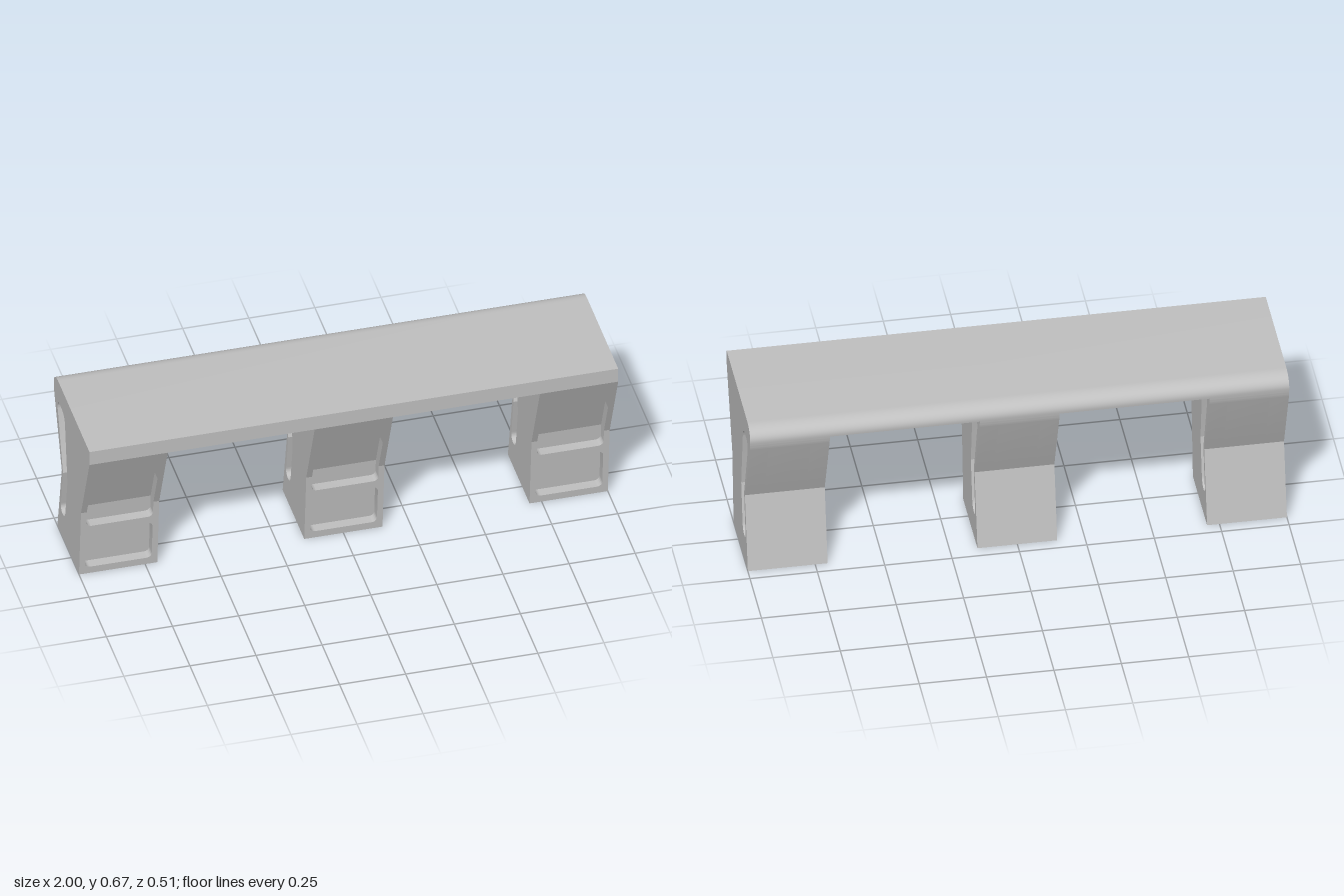
import * as THREE from 'three';
import { toCreasedNormals } from 'three/addons/utils/BufferGeometryUtils.js';

const HALF = 0.148;      // half the width of a leg
const UNDER = 0.608;     // underside of the top slab
const POCKET = 0.04;     // depth of the front pockets
const SLOT = 0.07;       // depth of the side slots

// Front face of a leg: z at height y, with a kink at y = 0.3
const frontZ = (y) => (y < 0.3 ? 0.107 + (y / 0.3) * 0.028 : 0.135 + ((y - 0.3) / 0.308) * 0.122);

// Extrude a (z, y) shape along x, from x0 to x1
function alongX(shape, x0, x1) {
  const g = new THREE.ExtrudeGeometry(shape, { depth: x1 - x0, bevelEnabled: false, curveSegments: 12 });
  g.rotateY(-Math.PI / 2).translate(x1, 0, 0);
  return toCreasedNormals(g, 0.25);
}

// Rounded rectangle with separate bottom and top radii
function roundRect(target, x0, y0, x1, y1, rb, rt) {
  target.moveTo(x0 + rb, y0);
  target.lineTo(x1 - rb, y0);
  target.absarc(x1 - rb, y0 + rb, rb, -Math.PI / 2, 0);
  target.lineTo(x1, y1 - rt);
  target.absarc(x1 - rt, y1 - rt, rt, 0, Math.PI / 2);
  target.lineTo(x0 + rt, y1);
  target.absarc(x0 + rt, y1 - rt, rt, Math.PI / 2, Math.PI);
  target.lineTo(x0, y0 + rb);
  target.absarc(x0 + rb, y0 + rb, rb, Math.PI, Math.PI * 1.5);
  return target;
}

// Top slab with a rounded rear edge
function slabShape() {
  const s = new THREE.Shape();
  s.moveTo(0.257, UNDER);
  s.lineTo(0.257, 0.667);
  s.lineTo(-0.19, 0.667);
  s.bezierCurveTo(-0.23, 0.667, -0.262, 0.645, -0.254, UNDER);
  s.closePath();
  return s;
}

// Side profile of the leg behind the pocket floors
function bodyShape() {
  const s = new THREE.Shape();
  s.moveTo(-0.203, 0);
  s.lineTo(frontZ(0) - POCKET, 0);
  s.lineTo(frontZ(0.3) - POCKET, 0.3);
  s.lineTo(frontZ(UNDER) - POCKET, UNDER);
  s.lineTo(-0.254, UNDER);
  s.quadraticCurveTo(-0.252, 0.59, -0.246, 0.573);
  s.lineTo(-0.14, 0.298);
  s.closePath();
  return s;
}

// Bent slot in the sides of the leg
function slotPath() {
  const p = new THREE.Path();
  p.moveTo(-0.093, 0.534);
  p.lineTo(-0.059, 0.298);
  p.lineTo(-0.088, 0.142);
  p.bezierCurveTo(-0.092, 0.12, -0.107, 0.107, -0.127, 0.107);
  p.bezierCurveTo(-0.147, 0.107, -0.158, 0.121, -0.153, 0.14);
  p.lineTo(-0.122, 0.298);
  p.lineTo(-0.199, 0.538);
  p.bezierCurveTo(-0.203, 0.56, -0.193, 0.577, -0.17, 0.577);
  p.lineTo(-0.146, 0.577);
  p.bezierCurveTo(-0.115, 0.577, -0.097, 0.562, -0.093, 0.534);
  return p;
}

// Front frame pieces, drawn in (x, y) and leaned to follow the front face
function framePiece(shape) {
  const g = new THREE.ExtrudeGeometry(shape, { depth: POCKET, bevelEnabled: false, curveSegments: 10 });
  const p = g.attributes.position;
  for (let i = 0; i < p.count; i++) p.setZ(i, p.getZ(i) + frontZ(p.getY(i)) - POCKET);
  return toCreasedNormals(g, 0.25);
}

function lowerFrame() {
  const w = 0.126, r = 0.02, y = 0.23;
  const s = new THREE.Shape();
  s.moveTo(-HALF, 0);
  s.lineTo(HALF, 0);
  s.lineTo(HALF, 0.3);
  s.lineTo(w, 0.3);
  s.lineTo(w, y + r);
  s.absarc(w - r, y + r, r, 0, -Math.PI / 2, true);
  s.lineTo(-w + r, y);
  s.absarc(-w + r, y + r, r, -Math.PI / 2, -Math.PI, true);
  s.lineTo(-w, 0.3);
  s.lineTo(-HALF, 0.3);
  s.closePath();
  s.holes.push(roundRect(new THREE.Path(), -w, 0.03, w, 0.2, 0.02, 0.02));
  return framePiece(s);
}

function upperFrame() {
  const w = 0.126, r = 0.075, top = 0.52;
  const s = new THREE.Shape();
  s.moveTo(HALF, 0.3);
  s.lineTo(HALF, UNDER);
  s.lineTo(-HALF, UNDER);
  s.lineTo(-HALF, 0.3);
  s.lineTo(-w, 0.3);
  s.lineTo(-w, top - r);
  s.absarc(-w + r, top - r, r, Math.PI, Math.PI / 2, true);
  s.lineTo(w - r, top);
  s.absarc(w - r, top - r, r, Math.PI / 2, 0, true);
  s.lineTo(w, 0.3);
  s.closePath();
  return framePiece(s);
}

export function createModel() {
  const model = new THREE.Group();
  model.name = 'bench';
  const grey = new THREE.MeshStandardMaterial({ color: 0xc0c0c0 });
  grey.name = 'light grey';

  const add = (parent, name, geometry) => {
    const mesh = new THREE.Mesh(geometry, grey);
    mesh.name = name;
    parent.add(mesh);
  };

  add(model, 'topSlab', alongX(slabShape(), -1, 1));

  // Shared leg parts: solid core, slotted cheeks and pocketed front
  const inner = HALF - SLOT;
  const cheek = bodyShape();
  cheek.holes.push(slotPath());
  const parts = {
    legCore: alongX(bodyShape(), -inner, inner),
    leftCheek: alongX(cheek, inner, HALF),
    rightCheek: alongX(cheek, -HALF, -inner),
    lowerFrontFrame: lowerFrame(),
    upperFrontFrame: upperFrame(),
  };
  const legs = { rightLeg: HALF - 1, middleLeg: 0, leftLeg: 1 - HALF };
  for (const [name, x] of Object.entries(legs)) {
    const leg = new THREE.Group();
    leg.name = name;
    leg.position.x = x;
    for (const [part, geometry] of Object.entries(parts)) add(leg, part, geometry);
    model.add(leg);
  }
  return model;
}
